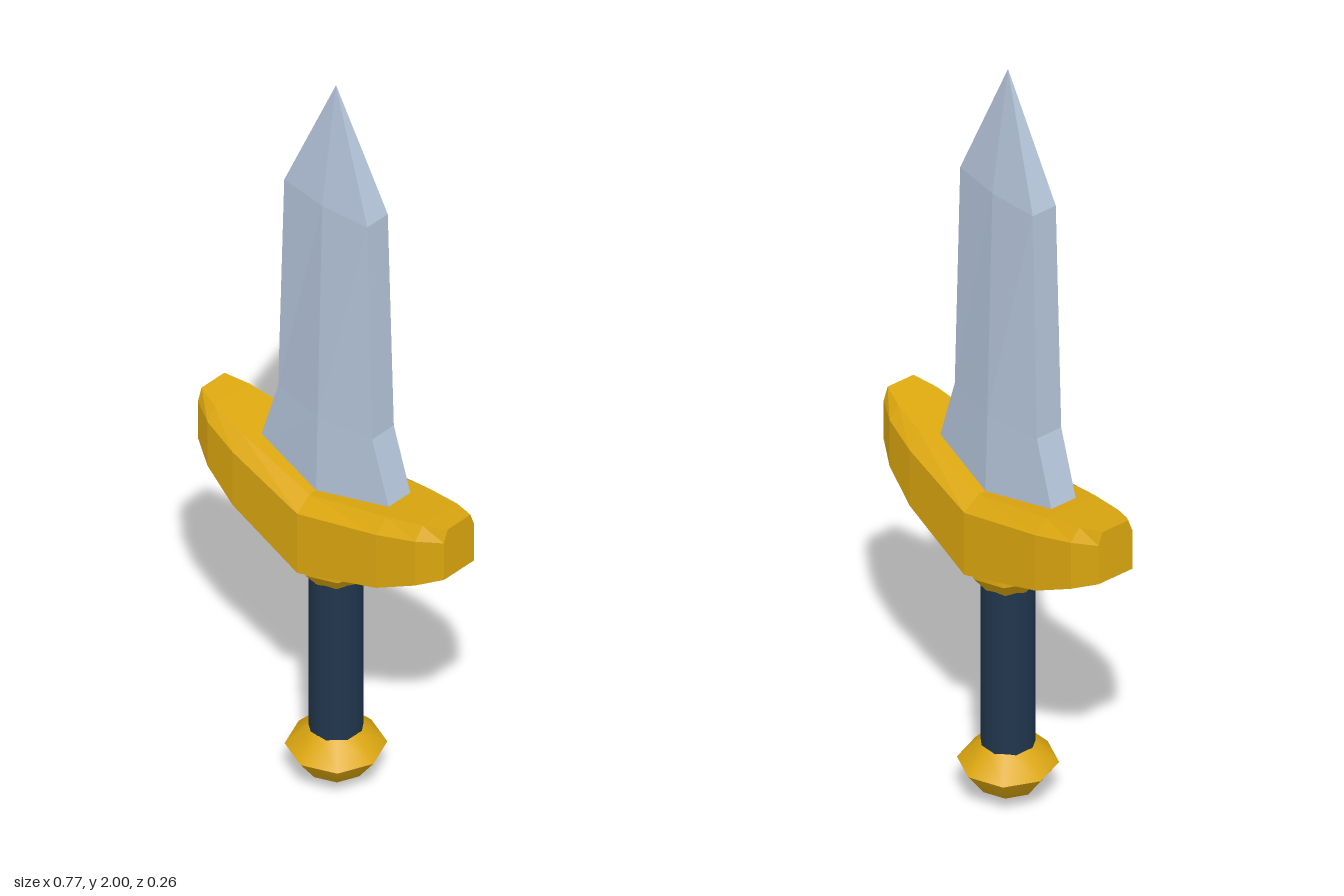
import * as THREE from 'three';

// Flat-shaded solid through matching closed rings of [x, y, z] points
function loft(rings) {
  const pos = [];
  const n = rings[0].length;
  const tri = (a, b, c) => pos.push(...a, ...b, ...c);
  for (let r = 0; r < rings.length - 1; r++) {
    for (let i = 0; i < n; i++) {
      const j = (i + 1) % n;
      tri(rings[r][i], rings[r][j], rings[r + 1][j]);
      tri(rings[r][i], rings[r + 1][j], rings[r + 1][i]);
    }
  }
  const first = rings[0], last = rings[rings.length - 1];
  for (let k = 1; k < n - 1; k++) {
    tri(first[0], first[k + 1], first[k]);
    tri(last[0], last[k], last[k + 1]);
  }
  const g = new THREE.BufferGeometry();
  g.setAttribute('position', new THREE.Float32BufferAttribute(pos, 3));
  g.computeVertexNormals();
  return g;
}

export function createModel() {
  const steel = new THREE.MeshStandardMaterial({ color: 0xb4c4da });
  const gold = new THREE.MeshStandardMaterial({ color: 0xdca70f });
  const leather = new THREE.MeshStandardMaterial({ color: 0x20364d });
  steel.name = 'steel';
  gold.name = 'gold';
  leather.name = 'navy leather';

  const model = new THREE.Group();
  model.name = 'dagger';
  const add = (name, geometry, material, parent = model) => {
    const mesh = new THREE.Mesh(geometry, material);
    mesh.name = name;
    parent.add(mesh);
  };
  // Turned part, profile given bottom to top as [radius, y]
  const turned = (profile, sides) =>
    new THREE.LatheGeometry(profile.map(([r, y]) => new THREE.Vector2(r, y)), sides);

  // Blade: six-sided section [edge y, ridge y, half width, edge half depth, ridge half depth]
  const blade = [
    [0.89, 0.85, 0.206, 0.036, 0.067],
    [1.08, 1.08, 0.147, 0.036, 0.061],
    [1.68, 1.68, 0.13, 0.034, 0.046],
    [2, 2, 0.0005, 0.0005, 0.0005],
  ].map(([y, m, w, e, t]) => [
    [w, y, e], [w, y, -e], [0, m, -t], [-w, y, -e], [-w, y, e], [0, m, t],
  ]);
  add('blade', loft(blade), steel);

  // Guard: [x, bottom, shoulder, top, outer half depth, top half depth], mirrored in x
  const half = [
    [0, 0.67, 0.84, 0.873, 0.129, 0.088],
    [0.225, 0.733, 0.885, 0.919, 0.105, 0.072],
    [0.325, 0.78, 0.906, 0.938, 0.082, 0.057],
    [0.385, 0.81, 0.915, 0.948, 0.05, 0.038],
  ];
  const mirrored = half.slice(1).reverse().map(([x, ...rest]) => [-x, ...rest]);
  const guard = [...mirrored, ...half].map(([x, b, s, t, zo, zi]) => [
    [x, t, -zi], [x, t, zi], [x, s, zo], [x, b, zo], [x, b, -zo], [x, s, -zo],
  ]);
  add('guard', loft(guard), gold);

  // Collar under the guard
  const collar = new THREE.Group();
  collar.name = 'collar';
  add('collarTaper', turned([[0, 0.6], [0.064, 0.6]], 8), gold, collar);
  add('collarCone', turned([[0.064, 0.6], [0.1, 0.645]], 8), gold, collar);
  add('collarBand', turned([[0.1, 0.645], [0.1, 0.75]], 8), gold, collar);
  model.add(collar);

  // Grip
  add('grip', new THREE.CylinderGeometry(0.063, 0.063, 0.48, 16).translate(0, 0.38, 0), leather);

  // Pommel, with hard edges between its cap, shoulder and bowl
  const pommel = new THREE.Group();
  pommel.name = 'pommel';
  add('pommelBowl', turned([[0, 0.003], [0.072, 0.05], [0.117, 0.11]], 8), gold, pommel);
  add('pommelShoulder', turned([[0.117, 0.11], [0.064, 0.165]], 8), gold, pommel);
  add('pommelCap', turned([[0.064, 0.165], [0, 0.165]], 8), gold, pommel);
  model.add(pommel);

  return model;
}
